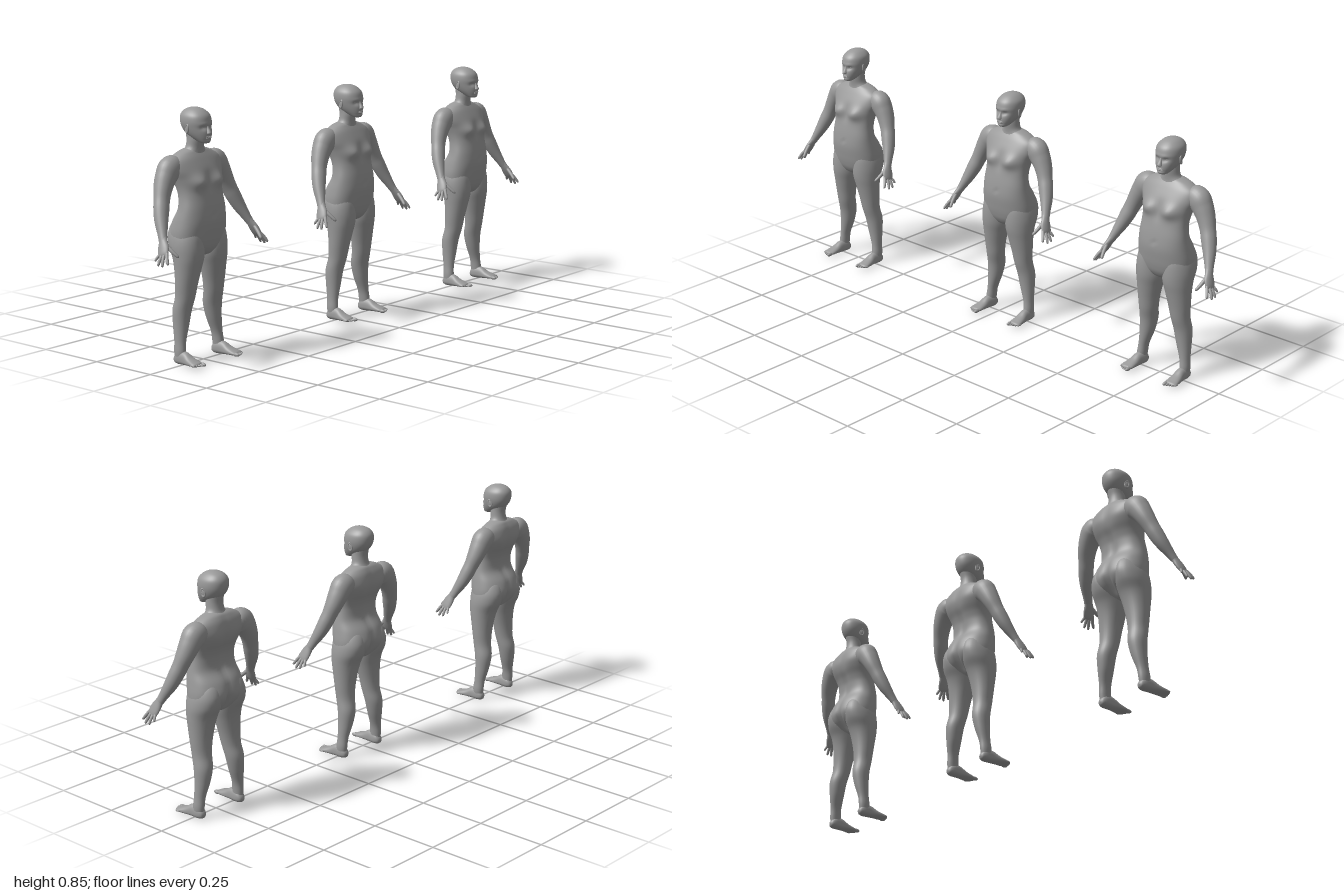
import * as THREE from 'three';
import { mergeVertices } from 'three/addons/utils/BufferGeometryUtils.js';

const Z = new THREE.Vector3(0, 0, 1);
const Y = new THREE.Vector3(0, 1, 0);
const skin = new THREE.MeshStandardMaterial({ color: 0x9a9a9a });
skin.name = 'plain grey';

// Smooth tube through sections [x, y, z, width radius, front radius, back radius].
// level keeps every ring horizontal; power below 1 makes the rings boxier.
function loft(sections, { ref = Z, level = false, power = 1, steps = 5, sides = 28, deform = null } = {}) {
  const path = new THREE.CatmullRomCurve3(sections.map((s) => new THREE.Vector3(s[0], s[1], s[2])), false, 'catmullrom');
  const size = new THREE.CatmullRomCurve3(sections.map((s) => new THREE.Vector3(s[3], s[4], s[5] ?? s[4])), false, 'catmullrom');
  const rings = (sections.length - 1) * steps;
  const pos = [], index = [];
  const shape = (v) => Math.sign(v) * Math.pow(Math.abs(v), power);
  for (let i = 0; i <= rings; i++) {
    const c = path.getPoint(i / rings), r = size.getPoint(i / rings);
    const t = level ? Y : path.getTangent(i / rings);
    const u = new THREE.Vector3().crossVectors(t, ref).normalize();
    const w = new THREE.Vector3().crossVectors(u, t).normalize();
    for (let j = 0; j < sides; j++) {
      const a = (j / sides) * Math.PI * 2, sn = Math.sin(a);
      const p = c.clone()
        .addScaledVector(u, Math.max(0, r.x) * shape(Math.cos(a)))
        .addScaledVector(w, Math.max(0, sn > 0 ? r.y : r.z) * shape(sn));
      if (deform) deform(p, sn);
      pos.push(p.x, p.y, p.z);
      if (i < rings) {
        const k = (j + 1) % sides, A = i * sides + j, B = i * sides + k;
        index.push(A, A + sides, B, B, A + sides, B + sides);
      }
    }
  }
  let g = new THREE.BufferGeometry();
  g.setAttribute('position', new THREE.Float32BufferAttribute(pos, 3));
  g.setIndex(index);
  g = mergeVertices(g, 1e-5);
  g.computeVertexNormals();
  return g;
}

// Turns [y, half width, front z, back z, x] profiles into level loft sections
const profile = (rows, s = 1) => rows.map(([y, hw, zf, zb, x = 0]) =>
  [x * s, y, (zf + zb) / 2, hw, (zf - zb) / 2]);

// Soft bumps [x, y, spread x, spread y, depth, facing], mirrored across x
const bumps = (list) => (p, sn) => {
  const { x, y } = p;
  for (const [bx, by, sx, sy, dz, face] of list) {
    const e = ((Math.abs(x) - bx) / sx) ** 2 + ((y - by) / sy) ** 2;
    p.z += dz * Math.exp(-e) * Math.max(0, sn * face);
  }
};

function add(group, name, geometry) {
  const m = new THREE.Mesh(geometry, skin);
  m.name = name;
  group.add(m);
  return m;
}

function ellipsoid(group, name, x, y, z, rx, ry, rz) {
  const m = add(group, name, new THREE.SphereGeometry(1, 20, 14));
  m.position.set(x, y, z);
  m.scale.set(rx, ry, rz);
  return m;
}

function buildHead(body) {
  const head = new THREE.Group();
  head.name = 'head';
  body.add(head);
  // skull and jaw with eye sockets and brow
  add(head, 'skull', loft(profile([
    [0.734, 0, 0.028, 0.028], [0.737, 0.016, 0.037, 0.008], [0.748, 0.026, 0.041, -0.02],
    [0.765, 0.036, 0.042, -0.05], [0.785, 0.043, 0.039, -0.066], [0.805, 0.046, 0.038, -0.072],
    [0.825, 0.043, 0.032, -0.071], [0.84, 0.031, 0.016, -0.06], [0.848, 0.017, -0.002, -0.042],
    [0.851, 0, -0.021, -0.021],
  ]), { level: true, power: 0.93, sides: 40, deform: bumps([
    [0.017, 0.787, 0.01, 0.007, -0.007, 1], [0.015, 0.799, 0.016, 0.005, 0.002, 1],
    [0, 0.742, 0.012, 0.006, 0.002, 1], [0, 0.747, 0.014, 0.003, -0.002, 1],
  ]) }));
  // nose
  add(head, 'nose', loft([
    [0, 0.797, 0.032, 0.004, 0.005], [0, 0.785, 0.036, 0.005, 0.006], [0, 0.773, 0.04, 0.008, 0.01],
    [0, 0.767, 0.04, 0.009, 0.01], [0, 0.763, 0.038, 0, 0],
  ].reverse(), { level: true, sides: 16 }));
  // lips
  for (const [y, z] of [[0.7565, 0.04], [0.7525, 0.0395]]) ellipsoid(head, 'lip', 0, y, z, 0.013, 0.0026, 0.005);
  for (const s of [-1, 1]) {
    ellipsoid(head, 'eye', s * 0.017, 0.788, 0.0235, 0.008, 0.005, 0.0065);
    // ear rim and inner ear
    const ear = new THREE.Group();
    ear.name = 'ear';
    ear.position.set(s * 0.044, 0.783, -0.015);
    ear.rotation.set(0.15, s * (Math.PI / 2 + 0.3), 0);
    head.add(ear);
    add(ear, 'earRim', new THREE.TorusGeometry(0.009, 0.003, 8, 24)).scale.set(0.85, 1.45, 1);
    ellipsoid(ear, 'earInside', 0, 0, 0, 0.008, 0.012, 0.003);
  }
}

function buildArm(body, s) {
  const arm = new THREE.Group();
  arm.name = s > 0 ? 'leftArm' : 'rightArm';
  body.add(arm);
  const side = (rows) => rows.map(([x, ...rest]) => [x * s, ...rest]);
  // shoulder to wrist
  add(arm, 'armLimb', loft(side([
    [0.05, 0.68, -0.035, 0, 0], [0.075, 0.67, -0.035, 0.03, 0.03], [0.105, 0.657, -0.035, 0.043, 0.038],
    [0.126, 0.632, -0.034, 0.037, 0.036], [0.144, 0.6, -0.03, 0.031, 0.032], [0.159, 0.565, -0.022, 0.027, 0.027],
    [0.171, 0.535, -0.013, 0.026, 0.026], [0.185, 0.5, 0, 0.022, 0.023], [0.2, 0.462, 0.019, 0.015, 0.017],
    [0.208, 0.442, 0.029, 0.012, 0.015],
  ])));
  // palm
  add(arm, 'palm', loft(side([
    [0.203, 0.455, 0.023, 0.012, 0.015], [0.209, 0.44, 0.031, 0.011, 0.016], [0.217, 0.422, 0.039, 0.01, 0.021],
    [0.225, 0.405, 0.045, 0.008, 0.021], [0.229, 0.397, 0.048, 0.005, 0.016], [0.23, 0.394, 0.049, 0, 0],
  ])));
  // thumb and four fingers: base, tip, thickness
  const fingers = [
    ['thumb', [0.211, 0.43, 0.047], [0.198, 0.393, 0.089], 0.0065],
    ['finger', [0.222, 0.409, 0.059], [0.24, 0.374, 0.081], 0.0055],
    ['finger', [0.226, 0.403, 0.051], [0.247, 0.366, 0.062], 0.0055],
    ['finger', [0.226, 0.402, 0.042], [0.247, 0.367, 0.043], 0.0053],
    ['finger', [0.223, 0.405, 0.034], [0.241, 0.38, 0.024], 0.0048],
  ];
  for (const [name, a, b, r] of fingers) {
    const at = (t, bow) => [a[0] + (b[0] - a[0]) * t + bow, a[1] + (b[1] - a[1]) * t, a[2] + (b[2] - a[2]) * t];
    add(arm, name, loft(side([
      [...at(0, 0), r, r], [...at(0.45, 0.002), r, r], [...at(0.85, 0.001), r * 0.82, r * 0.82],
      [...at(0.96, 0), r * 0.5, r * 0.5], [...at(1, 0), 0, 0],
    ]), { sides: 12, steps: 3 }));
  }
}

function buildLeg(body, s) {
  const leg = new THREE.Group();
  leg.name = s > 0 ? 'leftLeg' : 'rightLeg';
  body.add(leg);
  // thigh, knee, calf and ankle
  add(leg, 'legLimb', loft(profile([
    [0.015, 0.015, 0.006, -0.034, 0.092], [0.045, 0.017, 0.006, -0.038, 0.092], [0.08, 0.018, 0.003, -0.04, 0.088],
    [0.13, 0.026, 0.005, -0.05, 0.079], [0.18, 0.032, 0.01, -0.055, 0.073], [0.225, 0.034, 0.021, -0.046, 0.068],
    [0.27, 0.039, 0.029, -0.045, 0.065], [0.32, 0.046, 0.039, -0.05, 0.06], [0.36, 0.052, 0.047, -0.06, 0.056],
    [0.4, 0.054, 0.049, -0.079, 0.055], [0.44, 0.049, 0.045, -0.084, 0.053], [0.48, 0.035, 0.03, -0.065, 0.05],
    [0.5, 0, -0.02, -0.02, 0.05],
  ], s), { level: true }));
  // foot, heel to ball
  add(leg, 'foot', loft([
    [0.091, 0.018, -0.041, 0, 0], [0.091, 0.018, -0.036, 0.012, 0.012, 0.012], [0.091, 0.018, -0.02, 0.018, 0.028, 0.016],
    [0.092, 0.017, 0.008, 0.018, 0.03, 0.014], [0.094, 0.015, 0.035, 0.021, 0.018, 0.01],
    [0.096, 0.014, 0.06, 0.023, 0.01, 0.008], [0.097, 0.014, 0.072, 0.019, 0.006, 0.006], [0.097, 0.014, 0.077, 0, 0],
  ].map(([x, ...r]) => [x * s, ...r]), { ref: Y, power: 0.9 }));
  // toes, big toe on the inner side
  for (let i = 0; i < 5; i++) {
    const r = i ? 0.0048 - i * 0.0003 : 0.0068;
    ellipsoid(leg, 'toe', s * (0.081 + i * 0.0085 + (i ? 0.002 : 0)), 0.013, 0.076 - i * i * 0.0008, r, r, 0.014 - i * 0.001);
  }
}

function buildFigure() {
  const body = new THREE.Group();
  body.name = 'figure';
  // torso with chest, navel, spine groove, shoulder blades and seat cleft
  add(body, 'torso', loft(profile([
    [0.355, 0, -0.01, -0.01], [0.365, 0.04, 0.025, -0.04], [0.385, 0.082, 0.042, -0.062],
    [0.41, 0.101, 0.051, -0.08], [0.44, 0.104, 0.057, -0.087], [0.48, 0.099, 0.062, -0.077],
    [0.52, 0.092, 0.059, -0.053], [0.56, 0.087, 0.052, -0.052], [0.59, 0.089, 0.045, -0.06],
    [0.62, 0.097, 0.04, -0.073], [0.65, 0.108, 0.032, -0.078], [0.68, 0.108, 0.017, -0.074],
    [0.7, 0.08, 0.005, -0.066], [0.713, 0.045, -0.005, -0.055], [0.722, 0, -0.028, -0.028],
  ]), { level: true, power: 0.88, sides: 64, deform: bumps([
    [0.048, 0.611, 0.032, 0.024, 0.018, 1], [0, 0.605, 0.012, 0.03, -0.004, 1],
    [0, 0.5, 0.006, 0.006, -0.004, 1], [0, 0.57, 0.014, 0.1, 0.007, -1],
    [0.055, 0.645, 0.03, 0.03, -0.004, -1], [0, 0.4, 0.012, 0.045, 0.024, -1],
    [0.048, 0.43, 0.03, 0.035, -0.003, -1],
  ]) }));
  // neck flaring into the shoulders
  add(body, 'neck', loft(profile([
    [0.675, 0.085, 0.012, -0.07], [0.7, 0.056, 0.005, -0.063], [0.718, 0.034, 0.005, -0.053],
    [0.745, 0.029, 0.008, -0.05], [0.775, 0.029, 0.005, -0.056],
  ]), { level: true }));
  buildHead(body);
  for (const s of [-1, 1]) {
    buildArm(body, s);
    buildLeg(body, s);
  }
  return body;
}

export function createModel() {
  const model = new THREE.Group();
  model.name = 'threeStandingFigures';
  const figure = buildFigure();
  // the same figure three times in a row
  for (const x of [-0.7515, 0.04, 0.7515]) {
    const copy = figure.clone();
    copy.position.x = x;
    model.add(copy);
  }
  return model;
}
